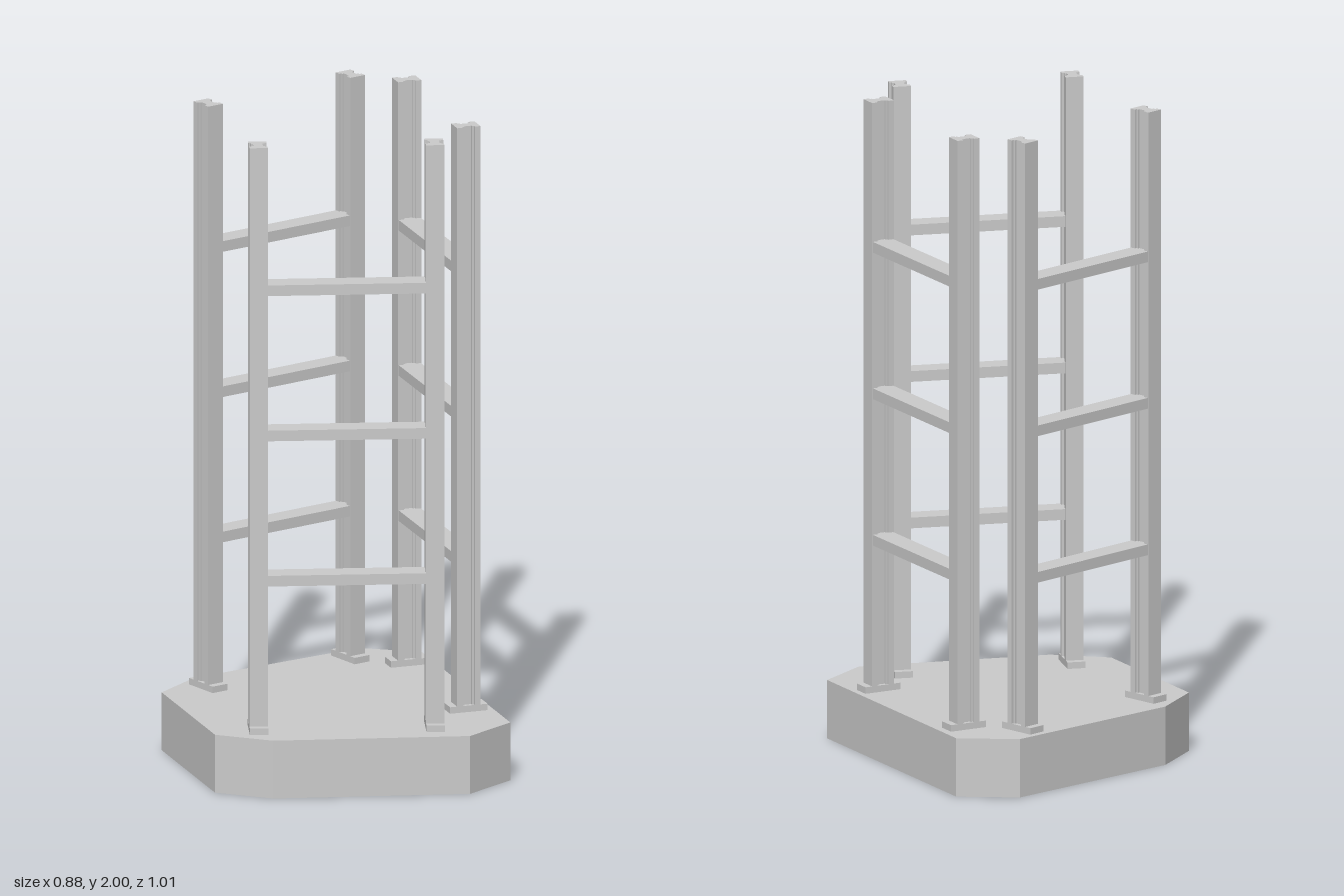
import * as THREE from 'three';

const mat = new THREE.MeshStandardMaterial({ color: 0xcccccc, flatShading: true });
const BASE_H = 0.18, TOP = 2;
const POST_W = 0.074, POST_D = 0.055;
const PLATE_W = 0.119, PLATE_H = 0.02;

// Extrude a plan outline of [x, z] points from y0 to y1
function prism(points, y0, y1, name) {
  const shape = new THREE.Shape(points.map(([x, z]) => new THREE.Vector2(x, -z)));
  const geo = new THREE.ExtrudeGeometry(shape, { depth: y1 - y0, bevelEnabled: false });
  geo.rotateX(-Math.PI / 2).translate(0, y0, 0);
  const mesh = new THREE.Mesh(geo, mat);
  mesh.name = name;
  return mesh;
}

function box(w, h, d, x, y, z, name) {
  const mesh = new THREE.Mesh(new THREE.BoxGeometry(w, h, d), mat);
  mesh.position.set(x, y, z);
  mesh.name = name;
  return mesh;
}

// Post section: a rectangle with a stepped groove in each of its two wide faces
function postOutline() {
  const a = POST_D / 2, b = POST_W / 2;
  const side = [[a, -b], [a, -0.019], [a - 0.007, -0.019], [a - 0.007, -0.012], [a - 0.013, -0.012],
    [a - 0.013, 0.012], [a - 0.007, 0.012], [a - 0.007, 0.019], [a, 0.019], [a, b]];
  return [...side, ...side.map(([x, z]) => [-x, -z])];
}

// Two posts on foot plates joined by three flat rungs, running from p to q in plan
function ladder(p, q, name) {
  const g = new THREE.Group();
  const dx = q[0] - p[0], dz = q[1] - p[1], len = Math.hypot(dx, dz);
  for (const s of [-1, 1]) {
    const post = prism(postOutline(), BASE_H, TOP, 'post');
    post.position.x = s * len / 2;
    g.add(post, box(POST_D, PLATE_H, PLATE_W, s * len / 2, BASE_H + PLATE_H / 2, 0, 'footPlate'));
  }
  for (const y of [0.651, 1.103, 1.555]) {
    g.add(box(len - POST_D + 0.024, 0.033, 0.07, 0, y, 0, 'rung'));
  }
  g.position.set((p[0] + q[0]) / 2, 0, (p[1] + q[1]) / 2);
  g.rotation.y = Math.atan2(-dz, dx);
  g.name = name;
  return g;
}

export function createModel() {
  const model = new THREE.Group();
  model.name = 'ladderFrameStand';

  // Eight-sided plinth, mirrored front to back
  const half = [[-0.44, 0.244], [-0.296, 0.362], [0.277, 0.506], [0.439, 0.406]];
  const outline = [...half, ...half.map(([x, z]) => [x, -z]).reverse()];
  model.add(prism(outline, 0, BASE_H, 'plinth'));

  // Three ladder frames around the plinth
  model.add(
    ladder([-0.3, 0.232], [0.21, 0.374], 'frontLadder'),
    ladder([-0.29, -0.251], [0.214, -0.408], 'backLadder'),
    ladder([0.359, 0.23], [0.355, -0.3], 'sideLadder'),
  );
  return model;
}
